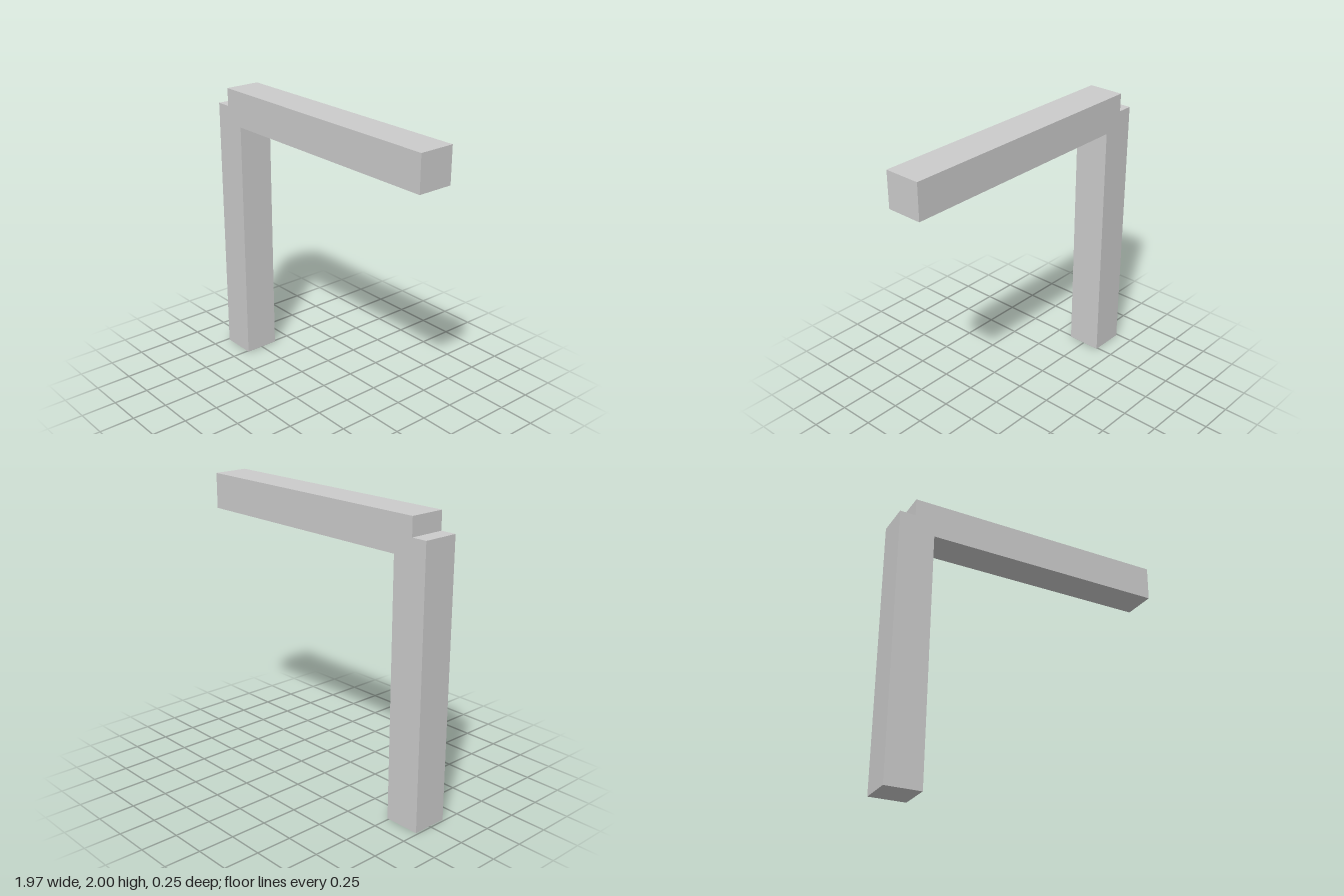
import * as THREE from 'three';

export function createModel() {
  const group = new THREE.Group();
  group.name = 'postAndBeam';
  const depth = 0.25;

  // Post and beam joined in one L-shaped outline, with a stepped notch at the corner
  const outline = new THREE.Shape([
    [-0.987, 0], [-0.738, 0], [-0.738, 1.753], [0.987, 1.753],
    [0.987, 2], [-0.878, 2], [-0.878, 1.875], [-0.987, 1.875],
  ].map(([x, y]) => new THREE.Vector2(x, y)));

  const geometry = new THREE.ExtrudeGeometry(outline, { depth, bevelEnabled: false });
  geometry.translate(0, 0, -depth / 2);

  const frame = new THREE.Mesh(
    geometry,
    new THREE.MeshStandardMaterial({ color: 0xcccccc, flatShading: true })
  );
  frame.name = 'notchedPostAndBeam';
  group.add(frame);
  return group;
}
